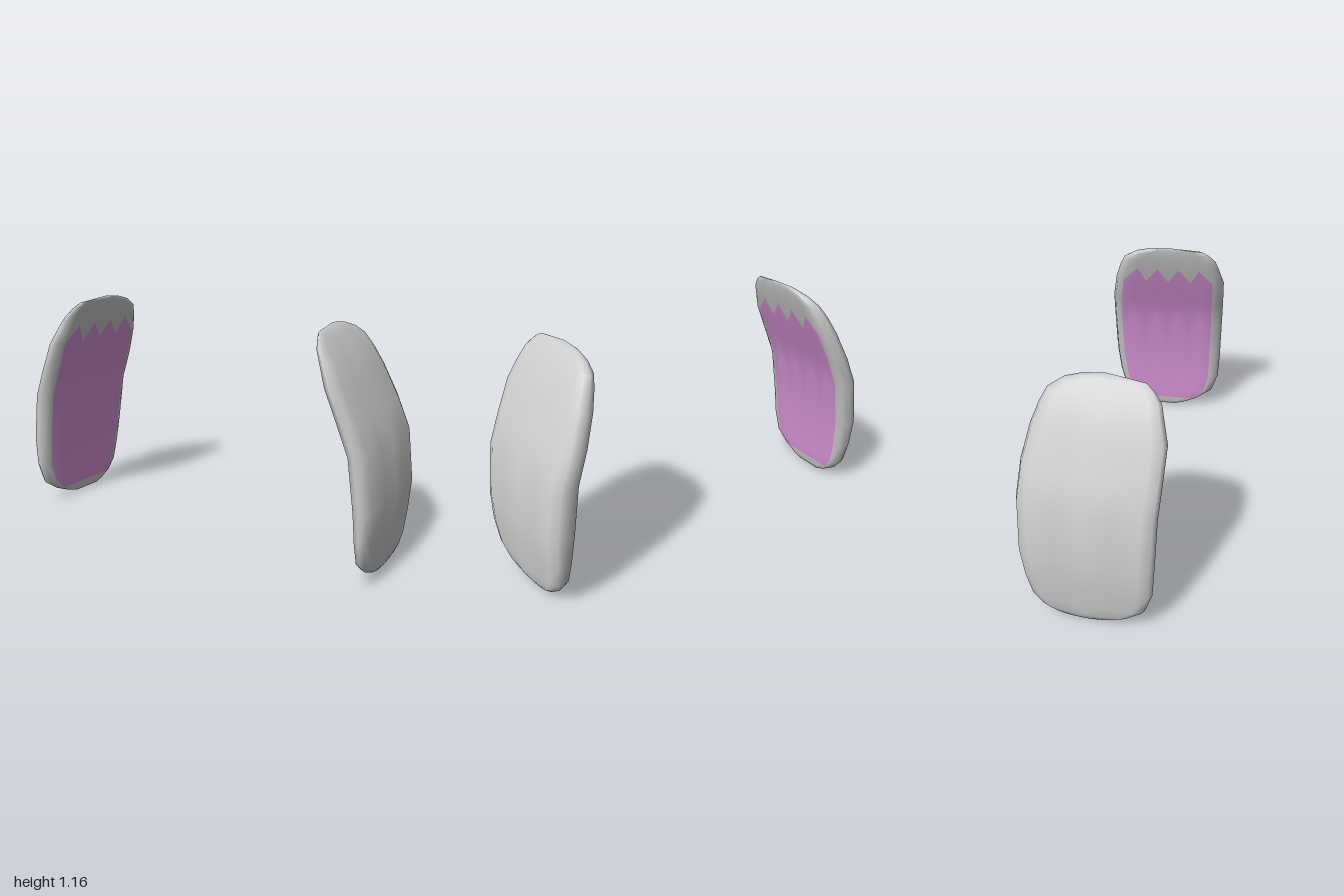
import * as THREE from 'three';

// Cross-sections from base to tip: [y, zFront, zBack, xInner, xOuter]
const rows = [
  [0.01, 0.06, -0.12, 0.91, 0.95],
  [0.03, 0.12, -0.17, 0.905, 0.962],
  [0.06, 0.185, -0.22, 0.90, 0.974],
  [0.12, 0.265, -0.27, 0.895, 0.982],
  [0.23, 0.30, -0.30, 0.89, 0.99],
  [0.38, 0.306, -0.32, 0.875, 0.998],
  [0.63, 0.31, -0.325, 0.84, 0.966],
  [0.78, 0.317, -0.315, 0.782, 0.903],
  [0.93, 0.322, -0.283, 0.722, 0.833],
  [1.02, 0.297, -0.25, 0.69, 0.784],
  [1.08, 0.28, -0.22, 0.67, 0.742],
  [1.12, 0.245, -0.16, 0.66, 0.71],
  [1.145, 0.21, -0.08, 0.655, 0.687],
];
const base = [0.93, 0, -0.04];
const tip = [0.66, 1.16, 0.03];

// Outline of one section: u runs back to front, v from inner face to outer face
const COLS = 8;
const outline = [];
for (let i = 0; i <= COLS; i++) outline.push([0.82 * (2 * i / COLS - 1), 0]);
const rim = [[0.94, 0.13], [1, 0.45], [0.95, 0.75], [0.8, 0.9], [0.4, 0.98]];
outline.push(...rim, [0, 1], ...rim.slice().reverse().map(([u, v]) => [-u, v]));

// Rows of the inner face that are coloured; the last one ends in a zigzag
const LINING_START = 2;
const LINING_TEETH = 8;

function createEar(side) {
  const n = outline.length;
  const positions = [];
  for (const [y, zf, zb, xi, xo] of rows) {
    for (const [u, v] of outline) {
      const z = (zf + zb) / 2 + u * (zf - zb) / 2;
      const slant = THREE.MathUtils.lerp(0.09, 0.02, v);
      positions.push(side * (xi + v * (xo - xi) + slant * z), y, z);
    }
  }
  const baseIndex = rows.length * n;
  const tipIndex = baseIndex + 1;
  positions.push(side * base[0], base[1], base[2], side * tip[0], tip[1], tip[2]);

  const shell = [];
  const lining = [];
  const tri = (list, a, b, c) => list.push(...(side > 0 ? [a, b, c] : [a, c, b]));

  for (let i = 0; i < rows.length - 1; i++) {
    for (let j = 0; j < n; j++) {
      const k = (j + 1) % n;
      const a = i * n + j, b = i * n + k, c = b + n, d = a + n;
      const inLining = j < COLS && i >= LINING_START && i <= LINING_TEETH;
      const lower = inLining ? lining : shell;
      const upper = inLining && i < LINING_TEETH ? lining : shell;
      if (j % 2 === 0) {
        tri(lower, a, b, c);
        tri(upper, a, c, d);
      } else {
        tri(lower, a, b, d);
        tri(upper, b, c, d);
      }
    }
  }
  // Close both ends with fans
  const last = (rows.length - 1) * n;
  for (let j = 0; j < n; j++) {
    const k = (j + 1) % n;
    tri(shell, baseIndex, k, j);
    tri(shell, tipIndex, last + j, last + k);
  }

  // Smooth normals over the whole ear, shared by shell and lining
  const whole = new THREE.BufferGeometry();
  whole.setAttribute('position', new THREE.Float32BufferAttribute(positions, 3));
  whole.setIndex([...shell, ...lining]);
  whole.computeVertexNormals();

  const part = (name, index, color) => {
    const geometry = whole.clone();
    geometry.setIndex(index);
    const mesh = new THREE.Mesh(geometry, new THREE.MeshStandardMaterial({ color }));
    mesh.name = name;
    return mesh;
  };
  const ear = new THREE.Group();
  ear.name = side > 0 ? 'leftEar' : 'rightEar';
  ear.add(part('earShell', shell, 0xcccccc), part('earLining', lining, 0xd894d8));
  return ear;
}

export function createModel() {
  const model = new THREE.Group();
  model.name = 'floppyEars';
  for (const side of [1, -1]) model.add(createEar(side));
  return model;
}
